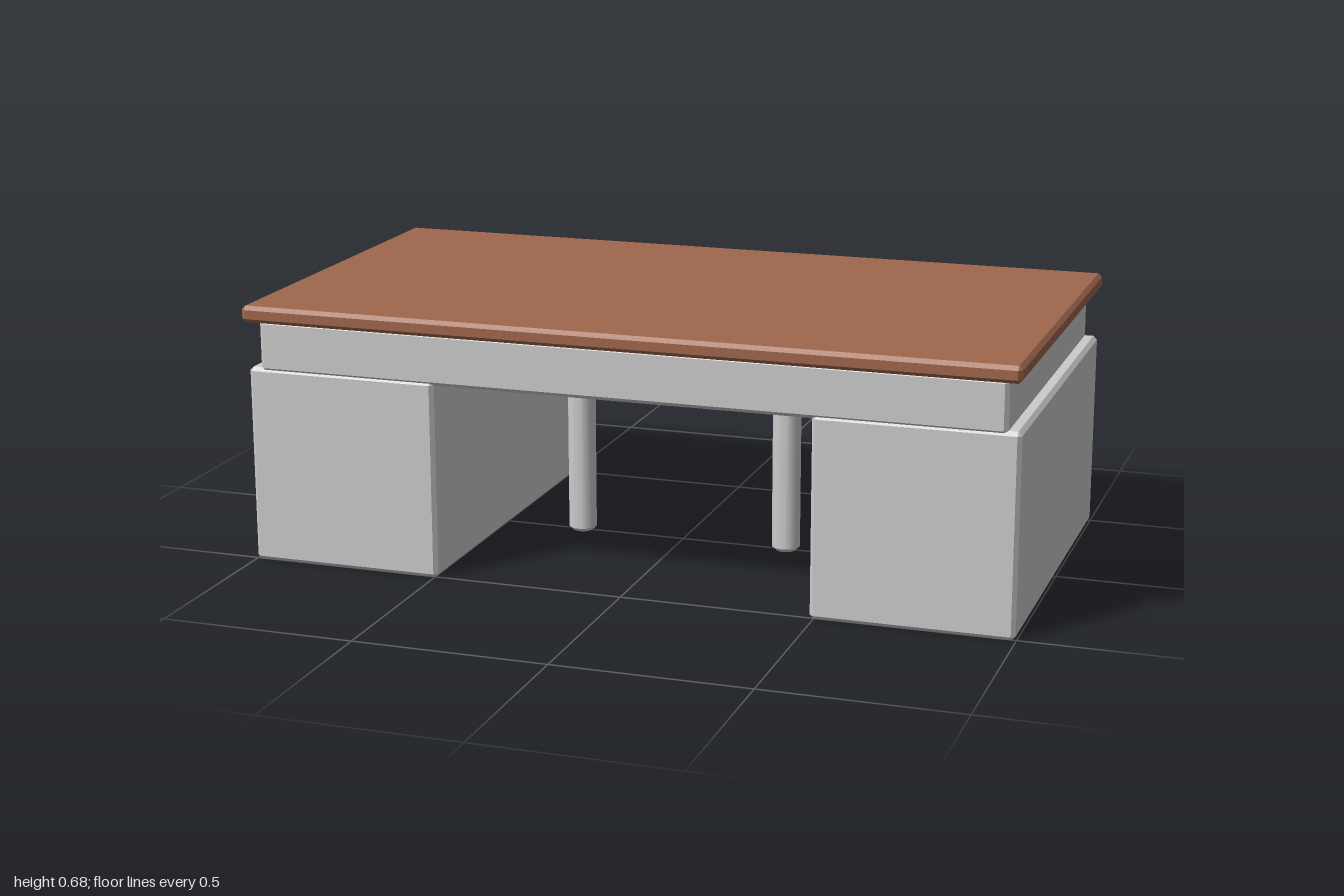
import * as THREE from 'three';
import { toCreasedNormals } from 'three/addons/utils/BufferGeometryUtils.js';
import { ConvexGeometry } from 'three/addons/geometries/ConvexGeometry.js';

const CHAMFER = 0.01;
const grey = new THREE.MeshStandardMaterial({ color: 0xcccccc });
const wood = new THREE.MeshStandardMaterial({ color: 0xa0674d });

// Box with every edge chamfered: hull of three points per corner
function chamferBox(w, h, d, c = CHAMFER) {
  const points = [];
  for (const sx of [-1, 1]) for (const sy of [-1, 1]) for (const sz of [-1, 1]) {
    const [x, y, z] = [w / 2, h / 2, d / 2];
    points.push(
      new THREE.Vector3(sx * x, sy * (y - c), sz * (z - c)),
      new THREE.Vector3(sx * (x - c), sy * y, sz * (z - c)),
      new THREE.Vector3(sx * (x - c), sy * (y - c), sz * z));
  }
  return new ConvexGeometry(points);
}

export function createModel() {
  const group = new THREE.Group();

  function add(name, geometry, material, x, y) {
    const mesh = new THREE.Mesh(geometry, material);
    mesh.name = name;
    mesh.position.set(x, y, 0);
    group.add(mesh);
  }
  // Chamfered block between two heights
  const block = (name, material, w, d, y0, y1, x = 0) =>
    add(name, chamferBox(w, y1 - y0, d), material, x, (y0 + y1) / 2);

  block('tabletop', wood, 2, 1.08, 0.637, 0.68);
  block('apron', grey, 1.93, 1.024, 0.505, 0.64);

  // Round leg with a chamfered foot, its top sunk into the apron
  const r = 0.037;
  const profile = [[0, 0], [r - CHAMFER, 0], [r, CHAMFER], [r, 0.52], [0, 0.52]]
    .map(([x, y]) => new THREE.Vector2(x, y));
  const leg = toCreasedNormals(new THREE.LatheGeometry(profile, 24), Math.PI / 6);

  for (const [side, s] of [['left', 1], ['right', -1]]) {
    block(side + 'Pedestal', grey, 0.508, 1.024, 0, 0.515, s * 0.744);
    add(side + 'Leg', leg, grey, s * 0.284, 0);
  }
  return group;
}
